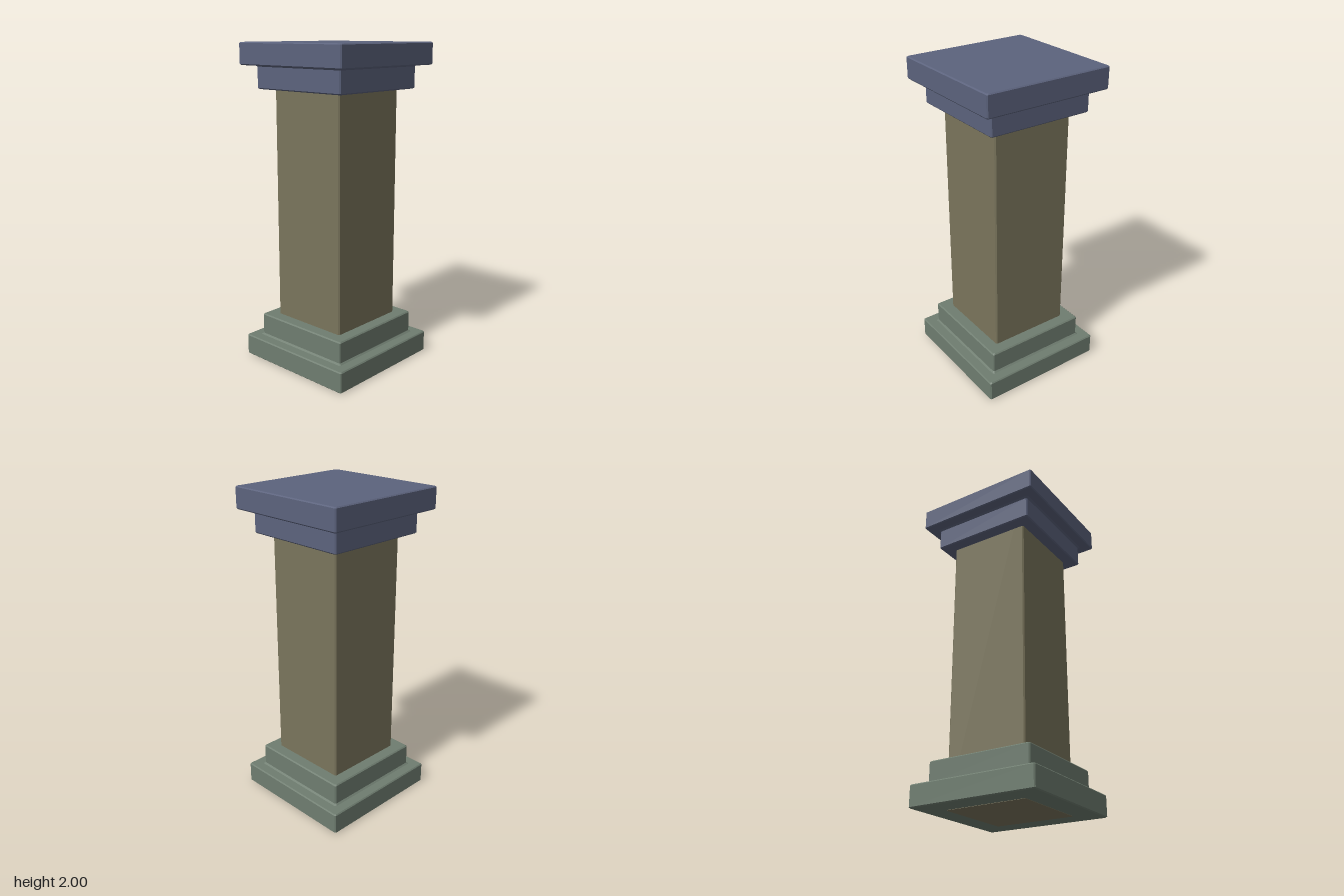
import * as THREE from 'three';

// Solid made of square rings with clipped corners; profile = [halfWidth, y] from bottom to top
function squareLoft(profile, cut) {
  const pos = [];
  const rings = profile.map(([w, y]) => {
    const k = w - cut;
    return [[w, -k], [w, k], [k, w], [-k, w], [-w, k], [-w, -k], [-k, -w], [k, -w]]
      .map(([x, z]) => [x, y, z]);
  });
  const tri = (...corners) => corners.forEach((p) => pos.push(...p));
  const last = rings.length - 1;
  for (let j = 0; j < 8; j++) {
    const n = (j + 1) % 8;
    for (let i = 0; i < last; i++) {
      const a = rings[i][j], b = rings[i][n], c = rings[i + 1][j], d = rings[i + 1][n];
      tri(a, c, b);
      tri(b, c, d);
    }
    tri([0, profile[0][1], 0], rings[0][j], rings[0][n]);
    tri([0, profile[last][1], 0], rings[last][n], rings[last][j]);
  }
  const geometry = new THREE.BufferGeometry();
  geometry.setAttribute('position', new THREE.Float32BufferAttribute(pos, 3));
  geometry.computeVertexNormals();
  return geometry;
}

export function createModel() {
  const model = new THREE.Group();
  const add = (name, profile, cut, color) => {
    const material = new THREE.MeshStandardMaterial({ color, flatShading: true });
    const mesh = new THREE.Mesh(squareLoft(profile, cut), material);
    mesh.name = name;
    model.add(mesh);
  };

  // Two-step plinth with bevelled edges and a small cove between the steps
  const steps = [
    [0.405, 0.002], [0.412, 0.008], [0.412, 0.13], [0.406, 0.137],
    [0.348, 0.137], [0.338, 0.146], [0.338, 0.272], [0.331, 0.279],
  ];
  add('base', steps, 0.007, 0x6f7d70);

  // Square shaft running through the base up into the capital
  add('shaft', [[0.262, 0], [0.262, 1.95]], 0.008, 0x7a755c);

  // Capital: the base steps turned upside down
  const capital = steps.map(([w, y]) => [w, 2.002 - y]).reverse();
  add('capital', capital, 0.007, 0x5c637d);

  return model;
}
